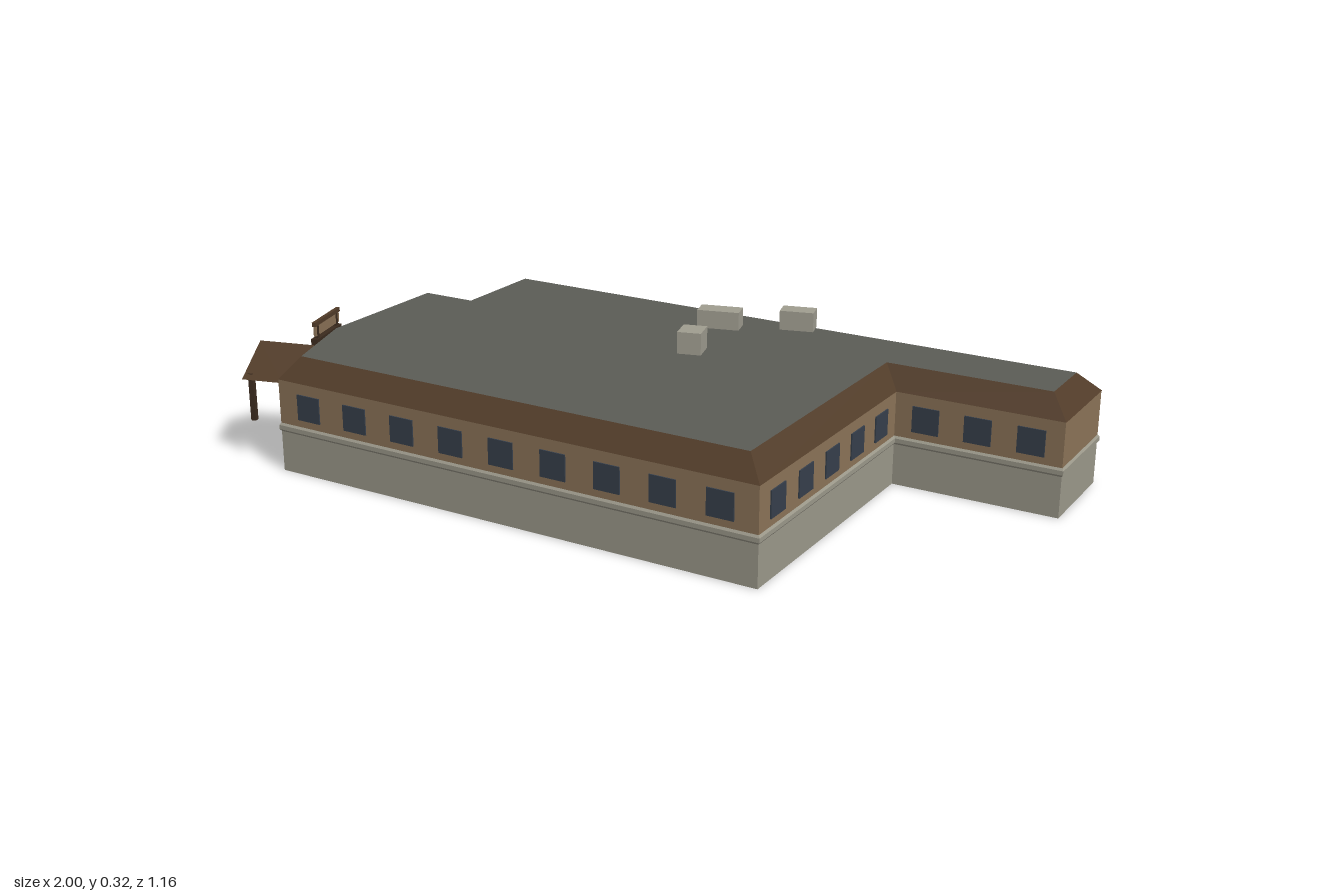
import * as THREE from 'three';

const mat = (name, color) => {
  const m = new THREE.MeshStandardMaterial({ color, side: THREE.DoubleSide });
  m.name = name;
  return m;
};

// Footprint corners as [x, z], clockwise from above
const plan = [
  [-0.50, -0.58], [0.993, -0.168], [0.93, 0.06], [0.56, -0.04], [0.387, 0.573],
  [-0.783, 0.25], [-0.80, -0.005], [-0.692, -0.39], [-0.563, -0.355],
];

// Mitred outline, pushed outward by d
function offset(d) {
  const n = plan.length;
  const normal = (a, b) => new THREE.Vector2(b[1] - a[1], a[0] - b[0]).normalize();
  return plan.map((p, i) => {
    const n1 = normal(plan[(i + n - 1) % n], p);
    const n2 = normal(p, plan[(i + 1) % n]);
    const k = d / (1 + n1.dot(n2));
    return [p[0] + (n1.x + n2.x) * k, p[1] + (n1.y + n2.y) * k];
  });
}

// Flat-sided geometry from quads of corner points
function quads(list) {
  const pos = [];
  for (const [a, b, c, d] of list) pos.push(...a, ...b, ...c, ...a, ...c, ...d);
  const g = new THREE.BufferGeometry();
  g.setAttribute('position', new THREE.Float32BufferAttribute(pos, 3));
  g.computeVertexNormals();
  return g;
}

// Skin around the footprint following [height, outward offset] rings
function band(profile) {
  const list = [];
  for (let k = 0; k < profile.length - 1; k++) {
    const [y0, d0] = profile[k], [y1, d1] = profile[k + 1];
    const lo = offset(d0), hi = offset(d1);
    lo.forEach((a, i) => {
      const j = (i + 1) % lo.length, b = lo[j];
      list.push([[b[0], y0, b[1]], [a[0], y0, a[1]], [hi[i][0], y1, hi[i][1]], [hi[j][0], y1, hi[j][1]]]);
    });
  }
  return quads(list);
}

export function createModel() {
  const root = new THREE.Group();
  root.name = 'building';
  const stone = mat('grey plinth', 0x9b988a);
  const tan = mat('tan wall', 0x8b7358);
  const brown = mat('brown roof', 0x513c29);
  const flat = mat('grey roof', 0x5b5c56);
  const glass = mat('blue grey glass', 0x363f4b);
  const vent = mat('pale vent', 0xa09d90);
  const dark = mat('dark timber', 0x3b2b1e);

  const add = (name, geo, material, parent = root) => {
    const m = new THREE.Mesh(geo, material);
    m.name = name;
    parent.add(m);
    return m;
  };
  const box = (name, material, x0, x1, y0, y1, z0, z1, parent) => {
    const m = add(name, new THREE.BoxGeometry(x1 - x0, y1 - y0, z1 - z0), material, parent);
    m.position.set((x0 + x1) / 2, (y0 + y1) / 2, (z0 + z1) / 2);
  };

  // Shell: plinth with moulding, walls, sloping roof edge, flat roof
  const inset = -0.045, top = 0.265;
  add('plinth', band([[0, 0], [0.095, 0], [0.1, 0.004], [0.11, 0.004], [0.115, 0]]), stone);
  add('walls', band([[0.115, 0], [0.218, 0]]), tan);
  add('roofSlope', band([[0.218, 0.001], [top, inset]]), brown);
  const shape = new THREE.Shape(offset(inset).map(([x, z]) => new THREE.Vector2(x, -z)));
  add('flatRoof', new THREE.ShapeGeometry(shape).rotateX(-Math.PI / 2).translate(0, top, 0), flat);

  // Panes centred in a row along one wall
  const windowRow = (edge, count, pitch, w = 0.062, y0 = 0.132, y1 = 0.192) => {
    const [ax, az] = plan[edge], [bx, bz] = plan[(edge + 1) % plan.length];
    const len = Math.hypot(bx - ax, bz - az);
    for (let i = 0; i < count; i++) {
      const t = 0.5 + ((i - (count - 1) / 2) * pitch) / len;
      const m = add('window', new THREE.BoxGeometry(w, y1 - y0, 0.006), glass);
      m.position.set(ax + (bx - ax) * t, (y0 + y1) / 2, az + (bz - az) * t);
      m.rotation.y = -Math.atan2(bz - az, bx - ax);
    }
  };
  windowRow(0, 12, 0.1255);
  windowRow(2, 3, 0.12);
  windowRow(3, 5, 0.121);
  windowRow(4, 9, 0.1305);
  windowRow(6, 3, 0.115);
  windowRow(5, 1, 0, 0.15, 0.12, 0.192); // entrance glazing

  // Gabled canopy over the entrance, running into the roof slope
  const porch = new THREE.Group();
  porch.name = 'porch';
  root.add(porch);
  const ridge = 0.26, eave = 0.198, mid = 0.12;
  const slope = (s) => {
    const q = [[-0.89, ridge, mid], [-0.89, eave, mid + s * 0.1], [-0.787, eave, mid + s * 0.1], [-0.75, ridge, mid]];
    return s > 0 ? q : q.reverse();
  };
  add('canopy', quads([slope(1), slope(-1)]), brown, porch);
  for (const s of [-1, 1]) {
    const z = mid + s * 0.08;
    box('post', dark, -0.882, -0.87, 0.095, 0.208, z - 0.006, z + 0.006, porch);
  }

  // Rooftop vents
  box('vent', vent, 0.06, 0.16, top, 0.308, -0.282, -0.235);
  box('vent', vent, 0.25, 0.33, top, 0.311, -0.315, -0.27);
  box('vent', vent, 0.065, 0.12, top, 0.316, -0.09, -0.03);

  // Free-standing bench-like board beside the building
  const bench = new THREE.Group();
  bench.name = 'bench';
  root.add(bench);
  box('benchBase', dark, -1.0, -0.982, 0.08, 0.108, -0.503, -0.355, bench);
  box('benchBack', tan, -0.993, -0.987, 0.115, 0.142, -0.5, -0.358, bench);
  box('benchRail', brown, -0.995, -0.985, 0.142, 0.153, -0.503, -0.355, bench);
  for (const z of [-0.49, -0.376]) box('benchPost', dark, -0.994, -0.986, 0.1, 0.15, z, z + 0.01, bench);

  return root;
}
